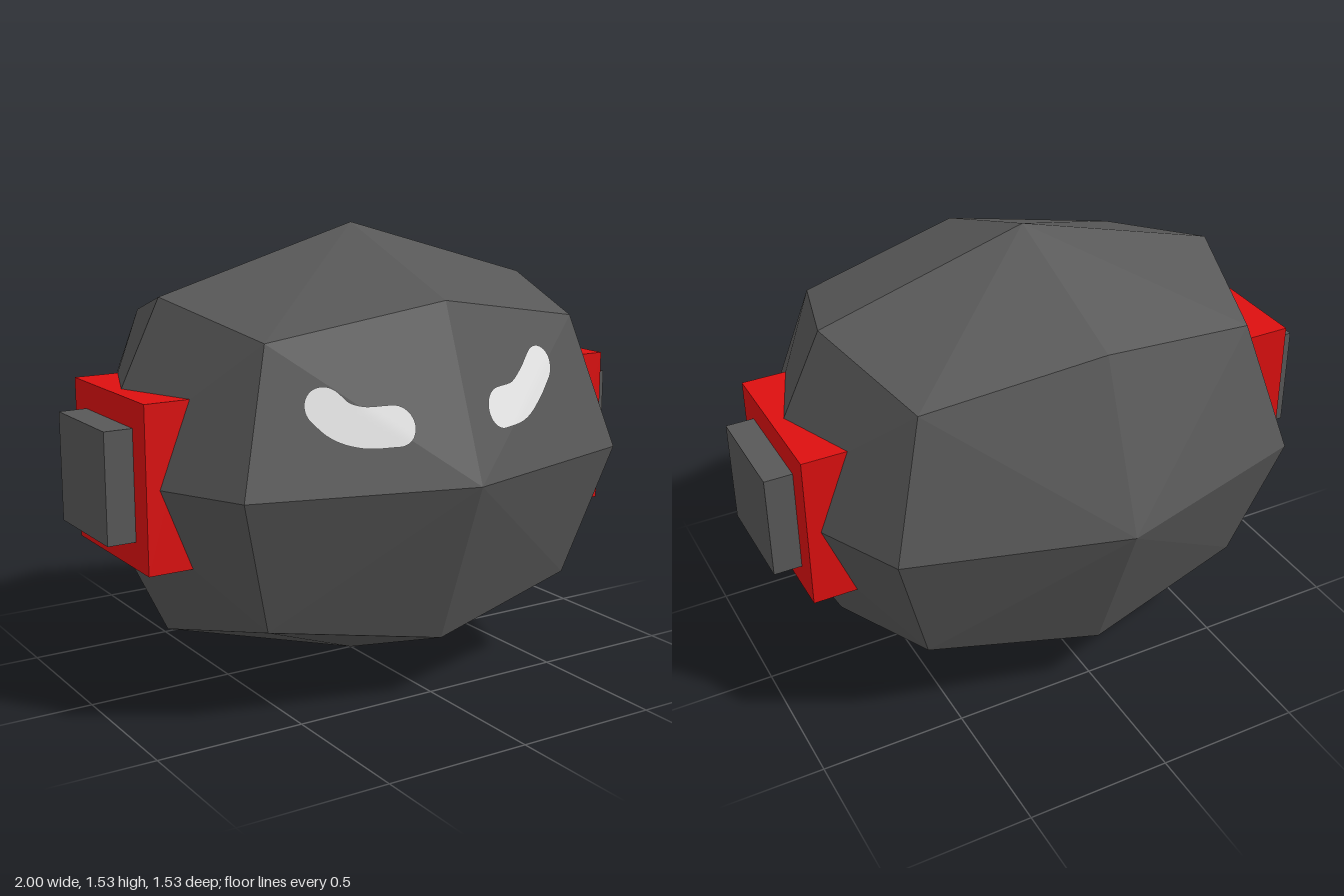
import * as THREE from 'three';
import { ConvexGeometry } from 'three/addons/geometries/ConvexGeometry.js';

const R = 0.763;        // body half height and centre height
const STRETCH = 1.3;    // body is wider along x

export function createModel() {
  const model = new THREE.Group();
  const mat = (name, color, extra = {}) => {
    const m = new THREE.MeshStandardMaterial({ color, ...extra });
    m.name = name;
    return m;
  };
  const charcoal = mat('charcoal', 0x585858, { flatShading: true });
  const red = mat('red', 0xdd1010, { flatShading: true });
  const white = mat('white', 0xffffff, { side: THREE.DoubleSide });

  const add = (name, geometry, material, x = 0, y = 0, z = 0) => {
    const mesh = new THREE.Mesh(geometry, material);
    mesh.name = name;
    mesh.position.set(x, y, z);
    model.add(mesh);
    return mesh;
  };

  // Body: a 2x2x2 gridded cube puffed out towards a ball, then stretched
  const reach = [0, R, 0.555, 0.455]; // face centre, edge middle, corner
  const points = [];
  for (const i of [-1, 0, 1]) for (const j of [-1, 0, 1]) for (const k of [-1, 0, 1]) {
    const n = Math.abs(i) + Math.abs(j) + Math.abs(k);
    if (n) points.push(new THREE.Vector3(i * STRETCH, j, k).multiplyScalar(reach[n]));
  }
  add('body', new ConvexGeometry(points), charcoal, 0, R, 0);

  // Side caps: red square block with a smaller charcoal block on it
  for (const [side, s] of [['left', 1], ['right', -1]]) {
    add(side + 'SideBlock', new THREE.BoxGeometry(0.155, 0.542, 0.542), red, s * 0.8275, R + 0.002, 0);
    add(side + 'SideButton', new THREE.BoxGeometry(0.12, 0.363, 0.363), charcoal, s * 0.94, R + 0.002, 0);
  }

  // Front surface depth of the faceted body
  const frontZ = (x, y) => {
    const a = Math.abs(x) / STRETCH, b = Math.abs(y - R);
    return R - 0.375 * Math.max(a, b) - 0.302 * Math.min(a, b);
  };

  // Eyes: bent round-ended strips laid on the front facets
  const eye = (name, path, r) => {
    const curve = new THREE.CatmullRomCurve3(path.map(([x, y]) => new THREE.Vector3(x, y, 0)));
    const length = curve.getLength();
    const geo = new THREE.PlaneGeometry(1, 2, 40, 8);
    const pos = geo.attributes.position;
    for (let i = 0; i < pos.count; i++) {
      // Cosine spacing keeps the round ends smooth
      const along = (1 - Math.cos((pos.getX(i) + 0.5) * Math.PI)) / 2;
      const d = along * (length + 2 * r) - r;
      const t = THREE.MathUtils.clamp(d / length, 0, 1);
      const over = d - t * length;
      const half = Math.sqrt(Math.max(0, r * r - over * over)) * pos.getY(i);
      const p = curve.getPointAt(t), tan = curve.getTangentAt(t);
      const x = p.x + tan.x * over - tan.y * half;
      const y = p.y + tan.y * over + tan.x * half;
      pos.setXYZ(i, x, y, frontZ(x, y) + 0.005);
    }
    geo.computeVertexNormals();
    add(name, geo, white);
  };
  eye('rightEye', [[-0.445, 1.025], [-0.405, 0.985], [-0.34, 0.962], [-0.24, 0.96]], 0.062);
  eye('leftEye', [[0.155, 0.978], [0.245, 0.988], [0.315, 1.03], [0.372, 1.08]], 0.063);

  return model;
}
